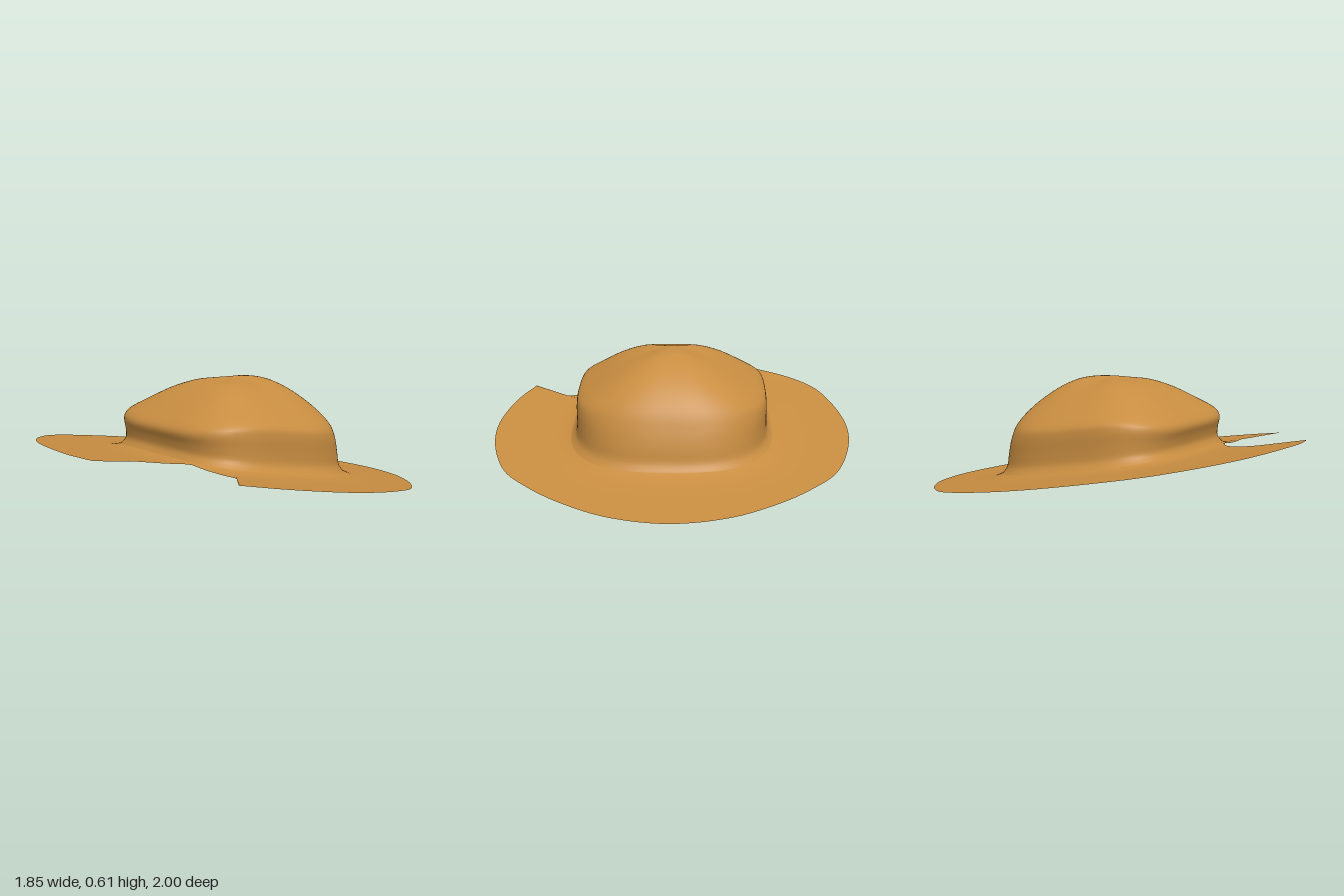
import * as THREE from 'three';
import { mergeVertices } from 'three/addons/utils/BufferGeometryUtils.js';

const v2 = ([x, y]) => new THREE.Vector2(x, y);
const spline = (pts) => new THREE.SplineCurve(pts.map(v2));

// Tilted, very slightly bowed surface the brim lies on
const brimHeight = (z) => 0.155 + 0.16 * z + 0.005 * z * z;

// Crown profiles as [distance from centre, height], from base to apex.
// Heights are stored relative to the tilted brim.
const profile = (pts, dir) => spline(pts.map(([r, y]) => [r, y - brimHeight(r * dir)]));
const front = profile([[0.48, 0.258], [0.46, 0.29], [0.465, 0.335], [0.478, 0.38], [0.46, 0.415],
  [0.4, 0.457], [0.3, 0.52], [0.18, 0.578], [0.08, 0.59], [0, 0.607]], 1);
const side = profile([[0.52, 0.175], [0.495, 0.21], [0.49, 0.27], [0.49, 0.35], [0.475, 0.395],
  [0.4, 0.45], [0.28, 0.525], [0.18, 0.57], [0.09, 0.592], [0, 0.607]], 0);
const back = profile([[0.555, 0.093], [0.535, 0.13], [0.525, 0.2], [0.505, 0.28], [0.47, 0.37],
  [0.4, 0.46], [0.3, 0.54], [0.2, 0.587], [0.1, 0.603], [0, 0.607]], -1);

// Rounded-square section of the crown at height t (0 base, 1 apex), angle a
function crownPoint(t, a) {
  const c = Math.cos(a), s = Math.sin(a);
  const p = side.getPoint(t), q = (s > 0 ? front : back).getPoint(t);
  const n = THREE.MathUtils.lerp(s > 0 ? 3.8 : 2.7, 2.2, t * t);
  const ex = Math.pow(Math.abs(c) / Math.max(p.x, 1e-6), n);
  const ez = Math.pow(Math.abs(s) / Math.max(q.x, 1e-6), n);
  const r = Math.pow(ex + ez, -1 / n);
  const z = r * s;
  const lift = THREE.MathUtils.lerp(p.y, q.y, ez / (ex + ez));
  return new THREE.Vector3(r * c, brimHeight(z) + lift, z);
}

// Brim edge in plan [x, z], then the bite torn out of its front left
const rim = spline([[0.8, 0.6], [0.88, 0.38], [0.925, 0.08], [0.9, -0.2], [0.81, -0.48], [0.68, -0.65],
  [0.5, -0.81], [0.27, -0.945], [0, -1], [-0.27, -0.945], [-0.5, -0.81], [-0.68, -0.65],
  [-0.81, -0.48], [-0.9, -0.2], [-0.925, 0.08], [-0.88, 0.38], [-0.79, 0.62], [-0.6, 0.81],
  [-0.35, 0.935], [0, 0.995], [0.17, 0.98], [0.22, 0.965]]);
const bite = spline([[0.22, 0.965], [0.18, 0.87], [0.166, 0.76], [0.18, 0.65], [0.23, 0.54], [0.3, 0.49],
  [0.4, 0.475], [0.52, 0.465], [0.62, 0.45], [0.72, 0.465], [0.785, 0.52], [0.8, 0.6]]);

function createSurface() {
  // Each column joins a point of the brim edge to an angle on the crown
  const columns = rim.getSpacedPoints(160).map((p) => {
    const a = Math.atan2(p.y, p.x);
    return { p, a: a > 0.66 ? a - 2 * Math.PI : a };
  });
  const a0 = columns[0].a - 2 * Math.PI, a1 = columns[columns.length - 1].a;
  bite.getSpacedPoints(70).forEach((p, i) => {
    if (i) columns.push({ p, a: THREE.MathUtils.lerp(a1, a0, i / 70) });
  });

  const brimRows = 14, crownRows = 36, rows = brimRows + crownRows;
  const pos = [], index = [];
  for (let j = 0; j <= rows; j++) {
    for (const { p, a } of columns) {
      if (j >= brimRows) {
        pos.push(...crownPoint((j - brimRows) / crownRows, a).toArray());
        continue;
      }
      // Brim rows crowd toward the crown, where the felt flares up
      const base = crownPoint(0, a);
      const f = Math.pow(1 - j / brimRows, 2);
      const x = THREE.MathUtils.lerp(base.x, p.x, f), z = THREE.MathUtils.lerp(base.z, p.y, f);
      const d = Math.hypot(x - base.x, z - base.z);
      const flare = (base.y - brimHeight(base.z)) * Math.exp(-d / 0.05);
      pos.push(x, brimHeight(z) + flare, z);
    }
  }
  const w = columns.length;
  for (let j = 0; j < rows; j++) {
    for (let i = 0; i < w - 1; i++) {
      const k = j * w + i;
      index.push(k, k + 1, k + w, k + 1, k + w + 1, k + w);
    }
  }
  let geo = new THREE.BufferGeometry();
  geo.setAttribute('position', new THREE.Float32BufferAttribute(pos, 3));
  geo.setIndex(index);
  geo = mergeVertices(geo, 1e-5);
  geo.computeVertexNormals();
  return { geo, split: brimRows * (w - 1) * 6 };
}

export function createModel() {
  const felt = new THREE.MeshStandardMaterial({ color: 0xc88d41, side: THREE.DoubleSide });
  felt.name = 'tan felt';

  // Brim and crown share one smooth set of points
  const { geo, split } = createSurface();
  const all = Array.from(geo.index.array);
  const hat = new THREE.Group();
  hat.name = 'hat';
  for (const [name, part] of [['brim', all.slice(0, split)], ['crown', all.slice(split)]]) {
    const g = geo.clone();
    g.setIndex(part);
    const mesh = new THREE.Mesh(g, felt);
    mesh.name = name;
    hat.add(mesh);
  }
  return hat;
}
